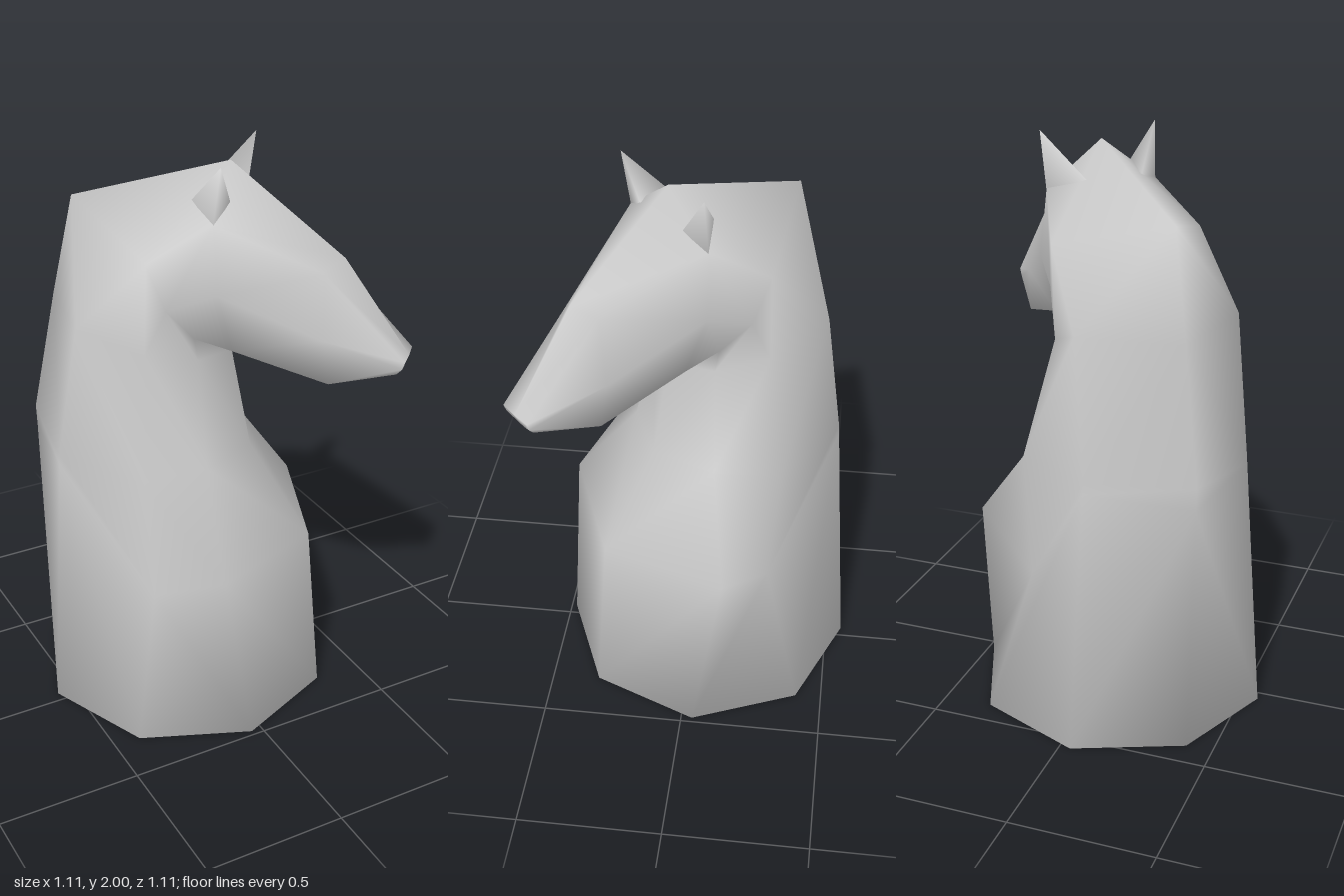
import * as THREE from 'three';

// Half cross-sections from chest/throat round the left side to the back/crest.
// Each point is [side, height, forward]; the other half is mirrored.
const SECTIONS = [
  // base octagon
  [[0, 0, 0.465], [0.368, 0, 0.313], [0.52, 0, -0.055], [0.368, 0, -0.423], [0, 0, -0.575]],
  // chest, with a hollow running down the flank
  [[0, 0.62, 0.41], [0.424, 0.64, 0.226], [0.345, 0.49, -0.05], [0.303, 0.93, -0.401], [0, 0.9, -0.607]],
  // shoulders
  [[0, 0.95, 0.19], [0.22, 0.95, 0.1], [0.375, 0.95, -0.07], [0.3, 0.97, -0.4], [0, 0.98, -0.61]],
  // upper neck
  [[0, 1.3, 0.12], [0.16, 1.32, 0.05], [0.265, 1.36, -0.1], [0.295, 1.44, -0.325], [0, 1.43, -0.52]],
  // back of the jaw to the crest
  [[0, 1.39, 0.1], [0.17, 1.4, 0.04], [0.25, 1.52, -0.03], [0.27, 1.68, -0.09], [0, 1.79, -0.44]],
  // cheeks to the poll
  [[0, 1.37, 0.16], [0.15, 1.365, 0.16], [0.218, 1.58, 0.13], [0.2, 1.81, 0.11], [0, 1.96, 0.11]],
  // chin to the bridge of the nose
  [[0, 1.27, 0.48], [0.12, 1.275, 0.48], [0.133, 1.43, 0.46], [0.075, 1.64, 0.44], [0, 1.67, 0.495]],
  // muzzle
  [[0, 1.3, 0.69], [0.055, 1.31, 0.69], [0.065, 1.335, 0.71], [0.067, 1.36, 0.718], [0, 1.36, 0.72]],
];

const mirror = ([x, y, z]) => [-x, y, z];
const fullRing = (half) => [...half, ...half.slice(1, 4).reverse().map(mirror)];

function makeGeometry(points, index) {
  const geometry = new THREE.BufferGeometry();
  geometry.setAttribute('position', new THREE.Float32BufferAttribute(points.flat(), 3));
  geometry.setIndex(index);
  geometry.computeVertexNormals();
  return geometry;
}

// Skin the sections, with the diagonals mirrored left to right
function bodyGeometry() {
  const n = 8;
  const points = SECTIONS.flatMap(fullRing);
  const index = [];
  for (let r = 0; r < SECTIONS.length - 1; r++) {
    for (let i = 0; i < n; i++) {
      const a = r * n + i;
      const b = r * n + (i + 1) % n;
      const c = b + n;
      const d = a + n;
      if (i < n / 2) index.push(a, b, c, a, c, d);
      else index.push(a, b, d, b, c, d);
    }
  }
  // close the underside and the muzzle, smooth across the rims
  const last = (SECTIONS.length - 1) * n;
  const centre = points.push([0, 0, -0.055]) - 1;
  for (let i = 0; i < n; i++) index.push(centre, (i + 1) % n, i);
  for (let i = 1; i < n - 1; i++) index.push(last, last + i, last + i + 1);
  return makeGeometry(points, index);
}

// Pointed three-sided ear: inner back, inner front, outer, tip; its foot sinks into the head
function earGeometry(side) {
  const points = [[0.1, 1.85, 0.01], [0.11, 1.86, 0.14], [0.2, 1.8, 0.11], [0.21, 2, 0.137]]
    .map(([x, y, z]) => [x * side, y, z]);
  const faces = [[0, 3, 1], [1, 3, 2], [2, 3, 0]];
  return makeGeometry(points, faces.flatMap((face) => (side > 0 ? face.reverse() : face)));
}

export function createModel() {
  const material = new THREE.MeshStandardMaterial({ color: 0xcccccc });
  const earMaterial = new THREE.MeshStandardMaterial({ color: 0xcccccc, side: THREE.DoubleSide });
  const horse = new THREE.Group();
  horse.name = 'horseBust';

  const add = (name, geometry, mat) => {
    const mesh = new THREE.Mesh(geometry, mat);
    mesh.name = name;
    horse.add(mesh);
  };

  add('bodyAndHead', bodyGeometry(), material);
  add('leftEar', earGeometry(1), earMaterial);
  add('rightEar', earGeometry(-1), earMaterial);

  // The bust looks along the diagonal between +x and +z
  horse.rotation.y = Math.PI / 4;
  const model = new THREE.Group();
  model.add(horse);
  return model;
}
